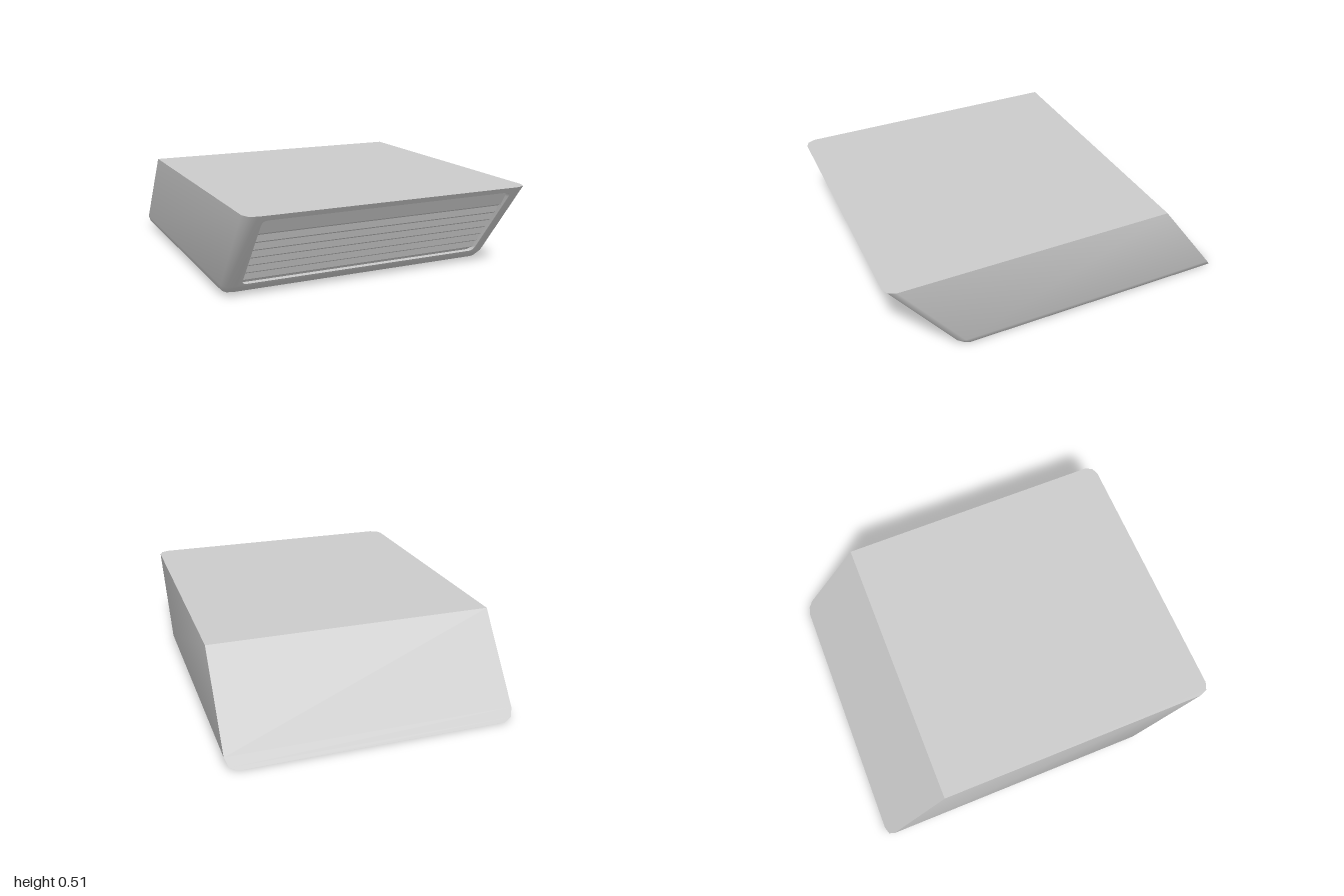
import * as THREE from 'three';
import { mergeGeometries, toCreasedNormals } from 'three/addons/utils/BufferGeometryUtils.js';

const W = 0.8, H = 0.513, BACK = -1, FRONT = 0.61, R = 0.06;
const LEAN = 0.39 / H; // forward lean: z gained per unit of height

function lean(geometry) {
  const p = geometry.attributes.position;
  for (let i = 0; i < p.count; i++) p.setZ(i, p.getZ(i) + LEAN * p.getY(i));
  return geometry;
}

// Outline of the body at one height: square at the back, rounded at the front
function outline(y, inset) {
  const r = R - inset, x = W - inset, z = FRONT - inset;
  const left = [[-x, y, BACK]], right = [[x, y, BACK]];
  for (let i = 0; i <= 2; i++) {
    const a = i * Math.PI / 4;
    const px = x - r + r * Math.cos(a), pz = z - r + r * Math.sin(a);
    left.push([-px, y, pz]);
    right.push([px, y, pz]);
  }
  return [...left, ...right.reverse()];
}

// Closed shell with rounded bottom and front edges, open where the grille frame sits
function shellGeometry() {
  const loops = [];
  for (let i = 0; i <= 2; i++) {
    const a = i * Math.PI / 4;
    loops.push(outline(R - R * Math.cos(a), R - R * Math.sin(a)));
  }
  loops.push(outline(H, 0));
  const n = loops[0].length, last = loops.length - 1, index = [];
  for (let j = 0; j < last; j++) {
    for (let k = 0; k < n; k++) {
      if (j === last - 1 && k === 3) continue;
      const a = j * n + k, b = j * n + (k + 1) % n;
      index.push(a, b, b + n, a, b + n, a + n);
    }
  }
  for (let k = 1; k < n - 1; k++) {
    index.push(0, k + 1, k);
    index.push(last * n, last * n + k, last * n + k + 1);
  }
  const g = new THREE.BufferGeometry();
  g.setAttribute('position', new THREE.Float32BufferAttribute(loops.flat(2), 3));
  g.setIndex(index);
  return g.toNonIndexed();
}

function roundedRect(path, x0, y0, x1, y1, r) {
  path.moveTo(x0 + r, y0);
  path.lineTo(x1 - r, y0);
  path.quadraticCurveTo(x1, y0, x1, y0 + r);
  path.lineTo(x1, y1 - r);
  path.quadraticCurveTo(x1, y1, x1 - r, y1);
  path.lineTo(x0 + r, y1);
  path.quadraticCurveTo(x0, y1, x0, y1 - r);
  path.lineTo(x0, y0 + r);
  path.quadraticCurveTo(x0, y0, x0 + r, y0);
  return path;
}

// Front frame with the grille opening and its walls
function frameGeometry() {
  const x = W - R, depth = 0.05;
  const shape = new THREE.Shape([[-x, R], [x, R], [x, H], [-x, H]].map(p => new THREE.Vector2(...p)));
  shape.holes.push(roundedRect(new THREE.Path(), -0.71, 0.073, 0.71, 0.483, 0.03));
  const g = new THREE.ExtrudeGeometry(shape, { depth, bevelEnabled: false, curveSegments: 4 });
  g.translate(0, 0, FRONT - depth);
  g.deleteAttribute('normal');
  g.deleteAttribute('uv');
  return g;
}

// Saw-tooth louvre panel, extruded across the width
function louvreGeometry() {
  const face = (y, sink) => new THREE.Vector2(FRONT + LEAN * y - sink, y);
  const pts = [face(0.065, 0.07), face(0.065, 0.034)];
  for (let i = 0; i < 7; i++) {
    const y = 0.09 + i * 0.0505;
    pts.push(face(y - 0.006, 0.034), face(y + 0.006, 0.02));
  }
  pts.push(face(0.495, 0.034), face(0.495, 0.07));
  const g = new THREE.ExtrudeGeometry(new THREE.Shape(pts), { depth: 1.43, bevelEnabled: false });
  return g.translate(0, 0, -0.715).rotateY(-Math.PI / 2);
}

export function createModel() {
  const group = new THREE.Group();
  const material = new THREE.MeshStandardMaterial({ color: 0xcccccc });

  const bodyGeometry = lean(mergeGeometries([shellGeometry(), frameGeometry()]));
  const body = new THREE.Mesh(toCreasedNormals(bodyGeometry, 0.85), material);
  body.name = 'body';

  const louvres = new THREE.Mesh(louvreGeometry(), material);
  louvres.name = 'grilleLouvres';

  group.add(body, louvres);
  return group;
}
